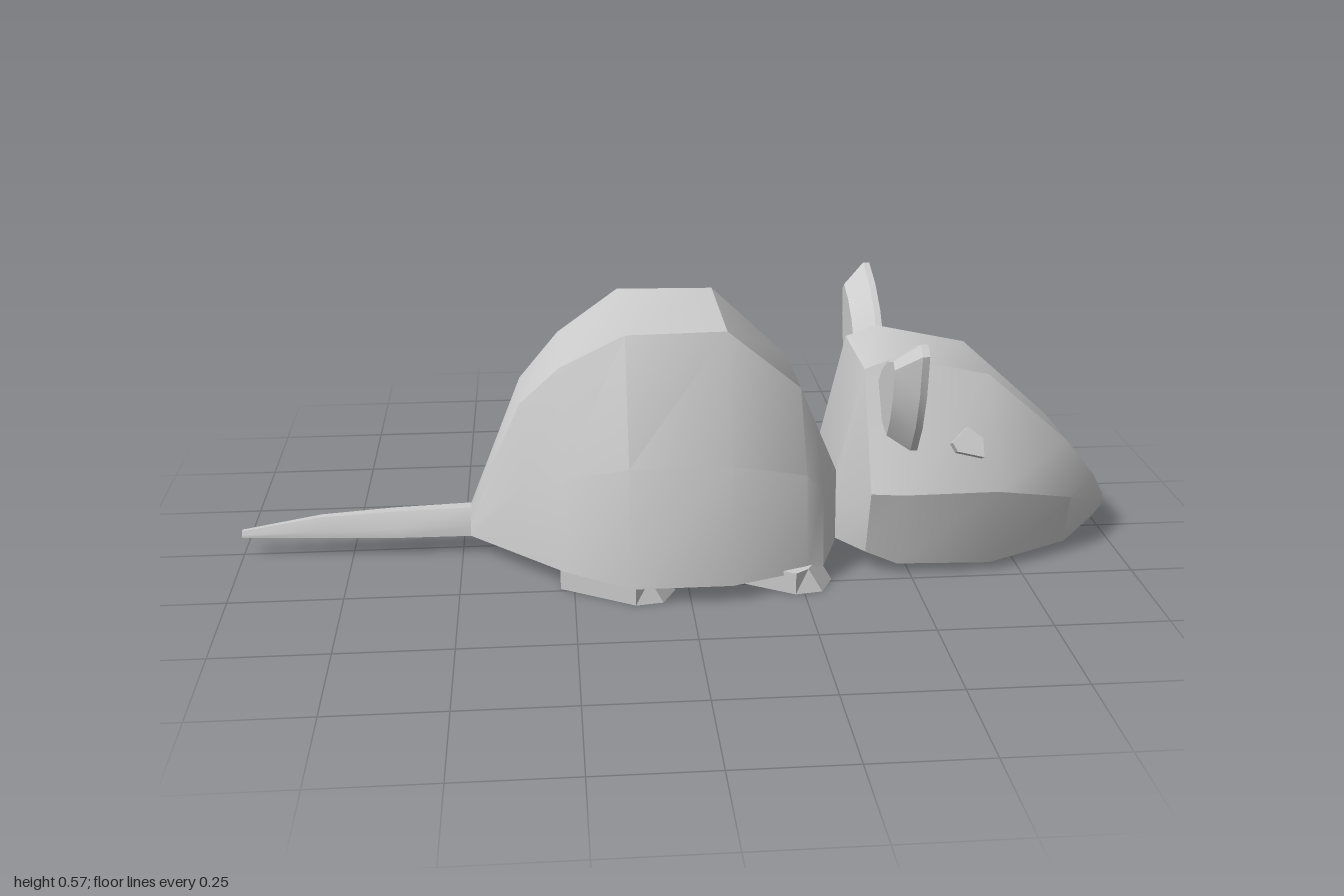
import * as THREE from 'three';
import { toCreasedNormals } from 'three/addons/utils/BufferGeometryUtils.js';

const material = new THREE.MeshStandardMaterial({ color: 0xcccccc, side: THREE.DoubleSide });

function addMesh(group, name, geometry) {
  const mesh = new THREE.Mesh(geometry, material);
  mesh.name = name;
  group.add(mesh);
  return mesh;
}

// Joins equal rings of [x, y, z] points and closes both ends.
// A ring must run clockwise as seen from the end of the loft.
function loft(rings, crease = 0.6) {
  const n = rings[0].length;
  const index = [];
  for (let r = 0; r < rings.length - 1; r++) {
    for (let i = 0; i < n; i++) {
      const a = r * n + i, b = r * n + (i + 1) % n;
      index.push(a, a + n, b, b, a + n, b + n);
    }
  }
  const last = (rings.length - 1) * n;
  for (let i = 1; i < n - 1; i++) {
    index.push(0, i, i + 1);
    index.push(last, last + i + 1, last + i);
  }
  const geometry = new THREE.BufferGeometry();
  geometry.setAttribute('position', new THREE.Float32BufferAttribute(rings.flat(2), 3));
  geometry.setIndex(index);
  return toCreasedNormals(geometry, crease);
}

// Six-sided section: base, widest side and flat top; right side may be wider
function section([x, yBase, wBase, ySide, wSide, yTop, wTop], baseScale = 1, sideScale = 1) {
  return [
    [x, yBase, wBase], [x, yBase, -wBase * baseScale],
    [x, ySide, -wSide * sideScale], [x, yTop, -wTop],
    [x, yTop, wTop], [x, ySide, wSide],
  ];
}

// Sections: x, base y, base half-width, side y, side half-width, top y, top half-width
const BODY = [
  [-0.48, 0.045, 0.04, 0.07, 0.035, 0.10, 0.02],
  [-0.36, 0.045, 0.16, 0.20, 0.14, 0.38, 0.09],
  [-0.27, 0.045, 0.25, 0.25, 0.22, 0.475, 0.13],
  [-0.13, 0.04, 0.338, 0.30, 0.297, 0.56, 0.18],
  [0.09, 0.04, 0.338, 0.30, 0.297, 0.56, 0.17],
  [0.26, 0.04, 0.275, 0.25, 0.24, 0.41, 0.12],
  [0.30, 0.04, 0.25, 0.20, 0.215, 0.315, 0.115],
  [0.345, 0.045, 0.13, 0.13, 0.125, 0.21, 0.115],
];
const HEAD = [
  [0.345, 0.05, 0.13, 0.13, 0.125, 0.21, 0.115],
  [0.40, 0.05, 0.21, 0.205, 0.25, 0.45, 0.12],
  [0.47, 0.025, 0.225, 0.205, 0.262, 0.475, 0.12],
  [0.68, 0.02, 0.225, 0.205, 0.258, 0.43, 0.12],
  [0.88, 0.02, 0.125, 0.14, 0.15, 0.255, 0.085],
  [0.965, 0.048, 0.055, 0.09, 0.07, 0.15, 0.045],
  [1.0, 0.063, 0.02, 0.075, 0.022, 0.09, 0.018],
];
const TAIL = [
  [-1.0, 0.045, 0.01, 0.052, 0.01, 0.06, 0.005],
  [-0.82, 0.045, 0.025, 0.06, 0.024, 0.09, 0.008],
  [-0.65, 0.045, 0.038, 0.065, 0.036, 0.10, 0.012],
  [-0.47, 0.045, 0.04, 0.07, 0.036, 0.105, 0.015],
];

// Ear outline as [z, y], with a dished front and a narrower back
function earGeometry() {
  const outline = [
    [0.12, 0.44], [0.17, 0.495], [0.24, 0.54], [0.325, 0.57], [0.348, 0.55],
    [0.34, 0.46], [0.315, 0.38], [0.275, 0.315], [0.2, 0.33],
  ];
  const ring = (x, s) => outline.map(([z, y]) => [x, 0.42 + (y - 0.42) * s, 0.23 + (z - 0.23) * s]);
  return loft([ring(0.46, 0.3), ring(0.49, 1), ring(0.475, 1), ring(0.425, 0.7)], 0.5);
}

// Five-cornered eye plate
function eyeGeometry() {
  const shape = new THREE.Shape([
    [-0.035, 0], [-0.025, -0.02], [0.033, -0.034], [0.033, 0.008], [0, 0.034],
  ].map(([x, y]) => new THREE.Vector2(x, y)));
  return new THREE.ExtrudeGeometry(shape, { depth: 0.035, bevelEnabled: false });
}

// Foot turned outwards, with toes sloping to the ground
function footGeometry() {
  const sole = [
    [0.12, 0.108], [0.30, 0.2], [0.32, 0.24], [0.29, 0.30], [0.23, 0.31], [0.07, 0.215],
  ];
  const upper = sole.map(([x, z]) => [x > 0.28 ? x - 0.03 : x, 0.05, x > 0.28 ? z - 0.012 : z]);
  return loft([sole.map(([x, z]) => [x, 0, z]), upper], 0.2);
}

export function createModel() {
  const group = new THREE.Group();
  group.name = 'rodent';

  addMesh(group, 'body', loft(BODY.map((s) => section(s))));
  addMesh(group, 'head', loft(HEAD.map((s) => section(s, 1.17, 1.08))));
  addMesh(group, 'tail', loft(TAIL.map((s) => section(s))));

  // Ears and eyes on both sides
  for (const [side, name] of [[1, 'left'], [-1, 'right']]) {
    const ear = addMesh(group, `${name}Ear`, earGeometry());
    ear.scale.z = side;

    const eye = new THREE.Group();
    eye.scale.z = side;
    const plate = addMesh(eye, `${name}Eye`, eyeGeometry());
    plate.position.set(0.615, 0.295, side > 0 ? 0.195 : 0.21);
    plate.rotation.x = -0.48;
    group.add(eye);
  }

  // Feet under one flank
  addMesh(group, 'frontFoot', footGeometry());
  addMesh(group, 'hindFoot', footGeometry()).position.set(-0.35, 0, 0.025);

  return group;
}
